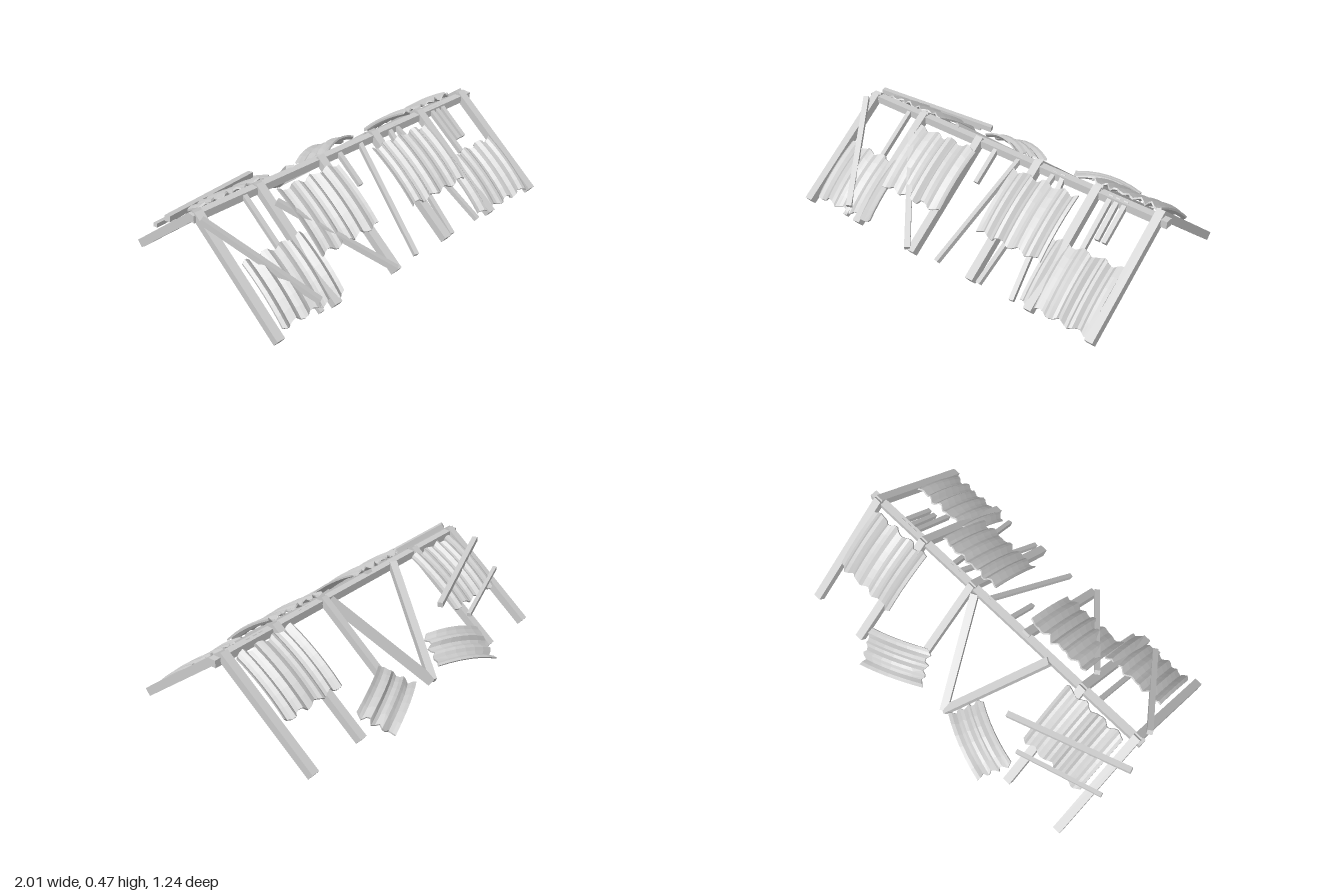
import * as THREE from 'three';

const mat = new THREE.MeshStandardMaterial({ color: 0xcccccc, flatShading: true, side: THREE.DoubleSide });

// Square-cut timber between two points, its top face turned towards "up"
function beam(name, a, b, width, depth) {
  const A = new THREE.Vector3(...a), B = new THREE.Vector3(...b);
  const dir = B.clone().sub(A), len = dir.length();
  dir.normalize();
  const side = new THREE.Vector3().crossVectors(new THREE.Vector3(0, 1, 0), dir).normalize();
  const up = new THREE.Vector3().crossVectors(dir, side);
  const geo = new THREE.BoxGeometry(width, depth, len);
  geo.applyMatrix4(new THREE.Matrix4().makeBasis(side, up, dir));
  const mid = A.add(B).multiplyScalar(0.5);
  geo.translate(mid.x, mid.y, mid.z);
  const mesh = new THREE.Mesh(geo, mat);
  mesh.name = name;
  return mesh;
}

// Corrugated sheet spanned over four corners: p00, p10 (across the waves), p01, p11.
// The waves run along the second direction; bow arches the sheet lengthwise.
function sheet(name, corners, waves, amp, bow, seed) {
  const [p00, p10, p01, p11] = corners.map(c => new THREE.Vector3(...c));
  const geo = new THREE.BoxGeometry(1, 1, 1, waves * 4, 1, 6);
  const n = new THREE.Vector3().crossVectors(p01.clone().sub(p00), p10.clone().sub(p00)).normalize();
  if (n.y < 0) n.negate();
  const along = p01.clone().sub(p00).normalize();
  const pos = geo.attributes.position;
  for (let i = 0; i < pos.count; i++) {
    const u = pos.getX(i) + 0.5, v = pos.getZ(i) + 0.5;
    const p = p00.clone().lerp(p10, u).lerp(p01.clone().lerp(p11, u), v);
    const wave = Math.sin(u * waves * Math.PI * 2 + seed) * amp * (0.75 + 0.35 * Math.sin(u * 9 + seed * 2));
    const arch = bow * (1 - (2 * v - 1) ** 2);
    p.addScaledVector(n, wave + arch + pos.getY(i) * 0.01);
    // uneven ends
    p.addScaledVector(along, 0.012 * Math.sin(u * 23 + seed) * (2 * v - 1));
    pos.setXYZ(i, p.x, p.y, p.z);
  }
  geo.computeVertexNormals();
  const mesh = new THREE.Mesh(geo, mat);
  mesh.name = name;
  return mesh;
}

// Height of the rafter centre line on each slope
const roofY = z => z >= 0 ? 0.472 - 0.737 * z : 0.436 - 0.83 * z * -1;

export function createModel() {
  const g = new THREE.Group();
  g.name = 'ruinedRoof';

  // Ridge beam
  g.add(beam('ridgeBeam', [-0.95, 0.445, 0.02], [1, 0.435, 0.037], 0.042, 0.04));

  // Main rafters
  for (const [x, z] of [[-0.915, 0.59], [-0.55, 0.58], [-0.15, 0.585], [0.235, 0.575], [0.595, 0.575], [0.945, 0.575]])
    g.add(beam('frontRafter', [x, roofY(0.02), 0.02], [x, roofY(z), z], 0.045, 0.045));
  for (const x of [-0.912, -0.55, 0.597, 0.942])
    g.add(beam('backRafter', [x, 0.462, 0.03], [x, 0.027, -0.508], 0.045, 0.045));
  g.add(beam('brokenBackRafter', [0.235, 0.462, 0.03], [0.235, 0.15, -0.345], 0.04, 0.04));

  // Fallen back rafters meeting at their feet
  g.add(beam('fallenRafter', [-0.335, 0.455, 0.01], [-0.04, 0.03, -0.475], 0.042, 0.042));
  g.add(beam('fallenRafter', [0.2, 0.44, 0.01], [-0.035, 0.03, -0.475], 0.042, 0.042));

  // Thin front battens: top x, bottom x, bottom z
  const battens = [
    [-0.65, -0.645, 0.575], [-0.03, -0.03, 0.205], [0.125, 0.01, 0.57], [0.345, 0.285, 0.57],
    [0.395, 0.49, 0.57], [0.68, 0.685, 0.275], [0.72, 0.725, 0.215], [0.765, 0.765, 0.215],
  ];
  for (const [x0, x1, z] of battens)
    g.add(beam('frontBatten', [x0, roofY(0.03), 0.03], [x1, roofY(z), z], 0.025, 0.025));

  // Loose boards lying on the slopes
  g.add(beam('frontDiagonalBoard', [-0.94, 0.462, 0.085], [-0.635, 0.1, 0.555], 0.03, 0.03));
  g.add(beam('frontDiagonalBoard', [-0.54, 0.415, 0.145], [-0.165, 0.07, 0.6], 0.03, 0.03));
  g.add(beam('backLooseBoard', [-1, 0.405, -0.105], [-0.345, 0.295, -0.305], 0.03, 0.03));
  g.add(beam('backLooseBoard', [-0.97, 0.275, -0.27], [-0.5, 0.2, -0.395], 0.022, 0.022));

  // Corrugated sheets on the slopes: x range, top z/y, bottom z/y
  const sheets = [
    ['frontLowerSheet', -0.87, -0.48, 0.285, 0.285, 0.56, 0.07],
    ['frontUpperSheet', -0.5, -0.105, 0.105, 0.435, 0.41, 0.215],
    ['frontUpperSheet', 0.145, 0.545, 0.115, 0.43, 0.41, 0.215],
    ['frontLowerSheet', 0.525, 0.925, 0.285, 0.28, 0.56, 0.065],
    ['backUpperSheet', -0.87, -0.48, -0.025, 0.45, -0.325, 0.225],
    ['backUpperSheet', 0.525, 0.915, -0.025, 0.45, -0.325, 0.225],
  ];
  sheets.forEach(([name, x0, x1, z0, y0, z1, y1], i) =>
    g.add(sheet(name, [[x0, y0, z0], [x1, y0, z0], [x0, y1, z1], [x1, y1, z1]], 6, 0.013, 0.015, i * 1.3)));

  // Slipped sheets on the back slope, bent along their length
  for (const s of [-1, 1]) {
    const d = s > 0 ? 0.04 : 0;
    const c = [[0.09, 0.09, -0.48], [0.18, 0.19, -0.32], [0.43, 0.025, -0.61], [0.52, 0.13, -0.445]];
    g.add(sheet('slippedSheet', c.map(([x, y, z]) => [s * (x + d), y, z]), 3, 0.014, 0.035, 1));
  }
  return g;
}
